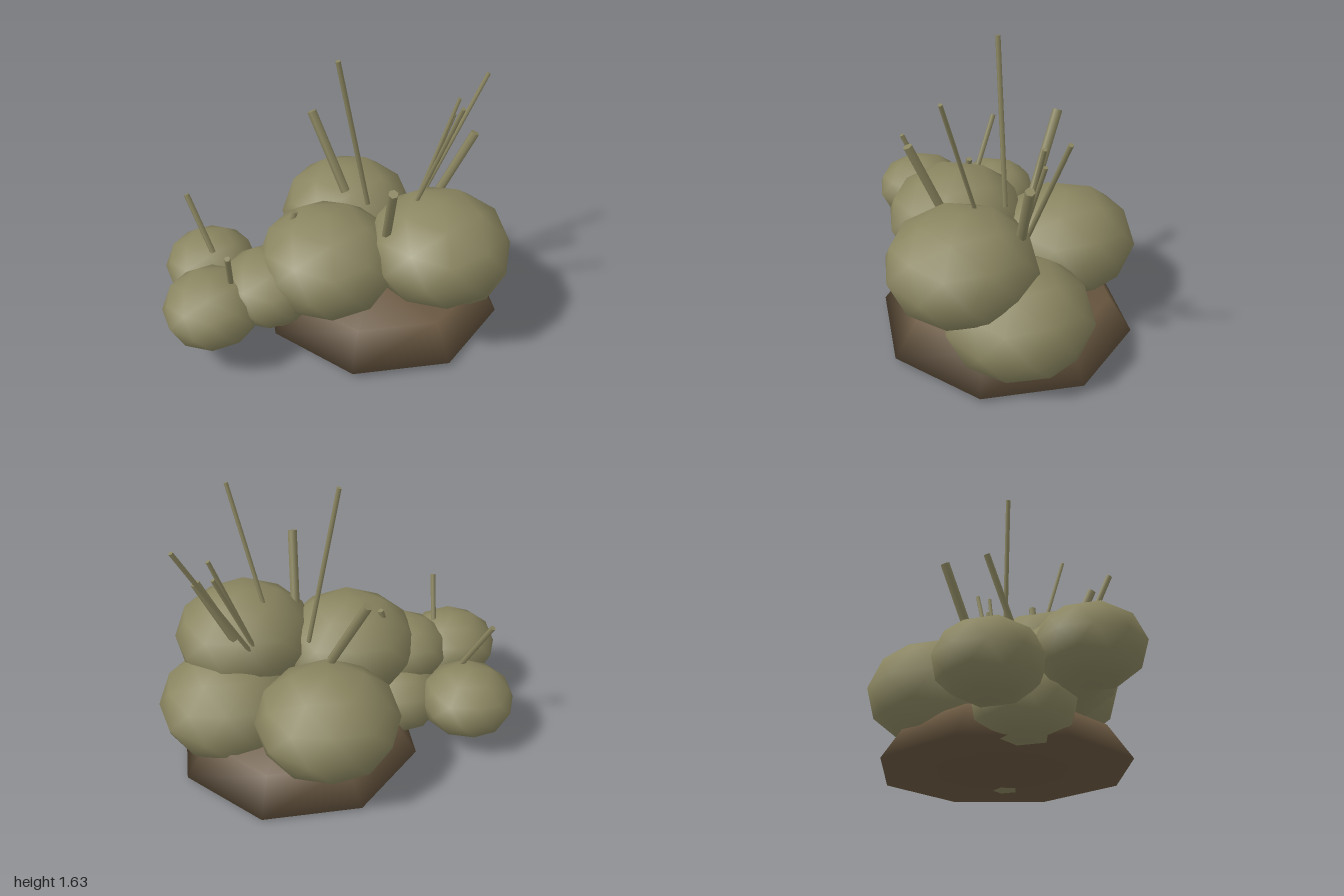
import * as THREE from 'three';
import { mergeVertices } from 'three/addons/utils/BufferGeometryUtils.js';

export function createModel() {
  const model = new THREE.Group();
  model.name = 'shrub';

  const olive = new THREE.MeshStandardMaterial({ color: 0x8a8560 });
  olive.name = 'olive foliage';
  const brown = new THREE.MeshStandardMaterial({ color: 0x6a5841 });
  brown.name = 'brown soil';

  function add(geometry, material, name) {
    const mesh = new THREE.Mesh(geometry, material);
    mesh.name = name;
    model.add(mesh);
    return mesh;
  }

  // Soil mound: a softly shaded eight-sided frustum, tipped very slightly
  let mound = new THREE.CylinderGeometry(0.585, 0.72, 0.205, 8);
  mound.deleteAttribute('normal');
  mound.deleteAttribute('uv');
  mound = mergeVertices(mound);
  mound.computeVertexNormals();
  const soil = add(mound, brown, 'soilMound');
  soil.position.set(0.235, 0.13, -0.13);
  soil.rotation.x = -0.017;

  // Foliage clumps: [x, y, z, horizontal radius, vertical radius]
  const clumps = [
    [0.595, 0.59, 0.04, 0.41, 0.3],
    [0.6, 0.31, -0.26, 0.41, 0.3],
    [-0.03, 0.42, -0.42, 0.405, 0.3],
    [0, 0.515, 0.205, 0.4, 0.295],
    [-0.3, 0.405, 0.38, 0.275, 0.205],
    [-0.31, 0.21, 0.16, 0.275, 0.205],
    [-0.57, 0.355, 0.57, 0.275, 0.205],
    [-0.735, 0.275, 0.13, 0.275, 0.205],
  ];
  const poleTilt = Math.atan(2 / (1 + Math.sqrt(5))); // stands a corner upright
  for (const [x, y, z, r, h] of clumps) {
    const ball = new THREE.IcosahedronGeometry(1, 1);
    ball.rotateZ(-poleTilt).scale(r, h, r);
    add(ball, olive, 'foliageClump').position.set(x, y, z);
  }

  // Bare twigs: [base, tip, radius]
  const twigs = [
    [[0.16, 0.7, -0.11], [0, 1.63, -0.035], 0.014],
    [[0, 0.68, -0.23], [-0.225, 1.135, -0.335], 0.027],
    [[0.32, 0.68, 0.18], [0.38, 1.135, 0.365], 0.027],
    [[0.52, 0.7, -0.25], [0.715, 1.13, -0.325], 0.026],
    [[0.44, 0.8, -0.01], [0.67, 1.52, 0.11], 0.012],
    [[0.43, 0.65, -0.26], [0.745, 1.41, -0.51], 0.013],
    [[0.43, 0.7, -0.25], [0.61, 1.305, -0.375], 0.012],
    [[0.43, 0.7, -0.25], [0.59, 1.2, -0.38], 0.012],
    [[-0.68, 0.45, 0.23], [-0.84, 0.78, 0.15], 0.016],
    [[-0.47, 0.45, 0.51], [-0.425, 0.785, 0.645], 0.016],
    [[-0.24, 0.6, 0.2], [-0.195, 0.785, 0.17], 0.018],
  ];
  const up = new THREE.Vector3(0, 1, 0);
  for (const [from, to, radius] of twigs) {
    const base = new THREE.Vector3(...from);
    const tip = new THREE.Vector3(...to);
    const along = tip.clone().sub(base);
    const stick = new THREE.CylinderGeometry(radius, radius, along.length(), 6);
    const twig = add(stick, olive, 'twig');
    twig.position.copy(base).add(tip).multiplyScalar(0.5);
    twig.quaternion.setFromUnitVectors(up, along.normalize());
  }

  return model;
}
